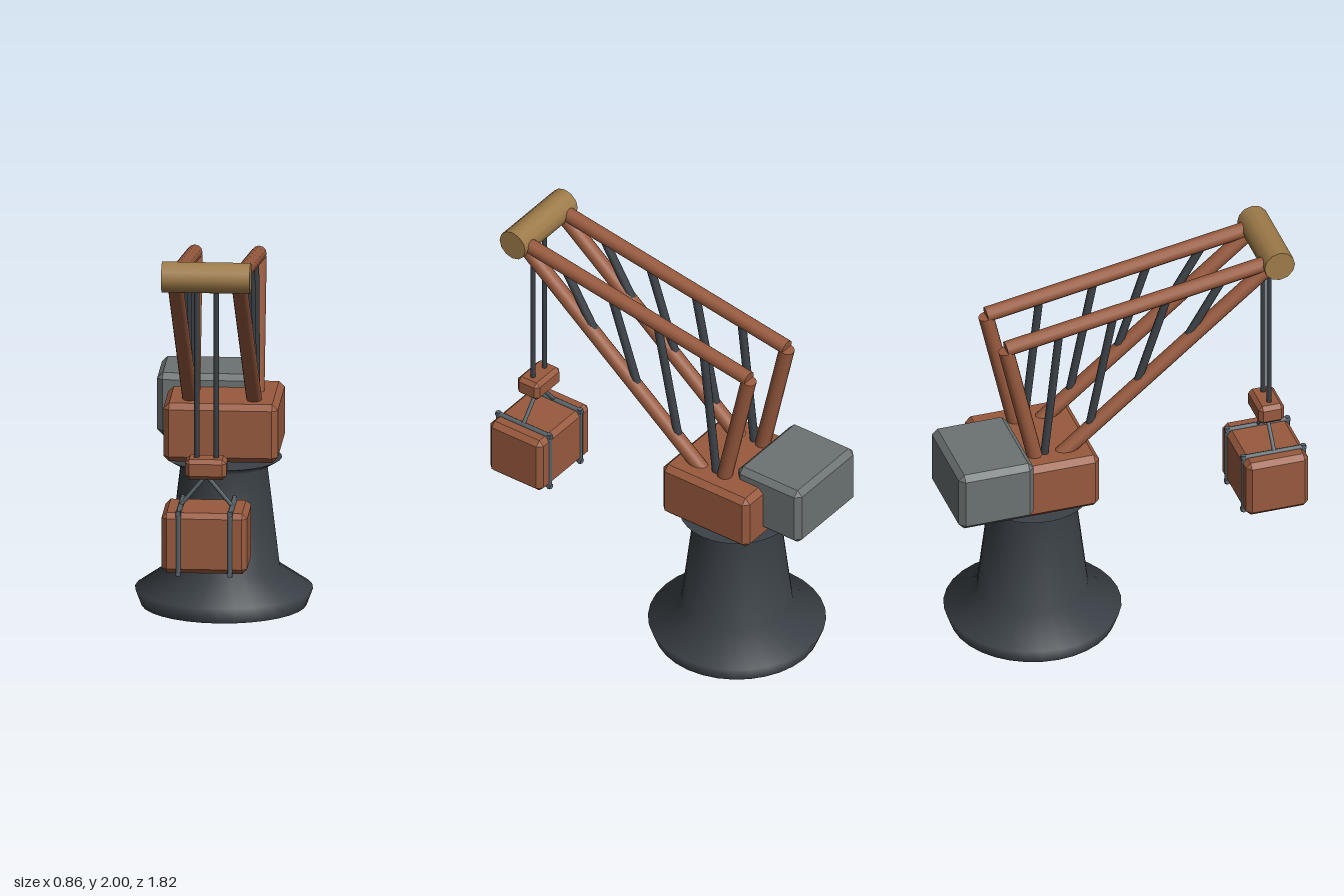
import * as THREE from 'three';
import { ConvexGeometry } from 'three/addons/geometries/ConvexGeometry.js';

const paint = (name, color) => {
  const m = new THREE.MeshStandardMaterial({ color });
  m.name = name;
  return m;
};

export function createModel() {
  const rust = paint('rust', 0x985a3e);
  const iron = paint('darkIron', 0x3b4147);
  const steel = paint('steel', 0x59656b);
  const grey = paint('counterweightGrey', 0x6c7372);
  const brass = paint('brass', 0x9e7b49);

  const crane = new THREE.Group();
  crane.name = 'harbourCrane';
  const V = (x, y, z) => new THREE.Vector3(x, y, z);

  const add = (name, geometry, material, parent = crane) => {
    const mesh = new THREE.Mesh(geometry, material);
    mesh.name = name;
    parent.add(mesh);
    return mesh;
  };
  const group = (name) => {
    const g = new THREE.Group();
    g.name = name;
    crane.add(g);
    return g;
  };

  // Box with a single flat chamfer on every edge, given by its min and max corners
  const chamferBox = (name, min, max, bevel, material, parent) => {
    const half = max.clone().sub(min).multiplyScalar(0.5);
    const points = [];
    for (const x of [-1, 1]) for (const y of [-1, 1]) for (const z of [-1, 1])
      for (const axis of ['x', 'y', 'z']) {
        const p = half.clone().subScalar(bevel);
        p[axis] += bevel;
        points.push(p.multiply(V(x, y, z)));
      }
    const mesh = add(name, new ConvexGeometry(points), material, parent);
    mesh.position.copy(min).add(max).sub(half.clone().add(min)).sub(half);
    mesh.position.copy(min).add(half);
    return mesh;
  };

  // Round bar between two points
  const bar = (name, a, b, radius, material, parent, sides = 12) => {
    const mesh = add(name, new THREE.CylinderGeometry(radius, radius, a.distanceTo(b), sides), material, parent);
    mesh.position.lerpVectors(a, b, 0.5);
    mesh.quaternion.setFromUnitVectors(V(0, 1, 0), b.clone().sub(a).normalize());
    return mesh;
  };

  // Pedestal with flared foot and collar
  const pedestal = group('pedestal');
  pedestal.position.z = -0.435;
  const profile = [[0.4, 0], [0.43, 0.08], [0.27, 0.19], [0.21, 0.69], [0.28, 0.73]]
    .map(([r, y]) => new THREE.Vector2(r, y));
  add('pedestalWall', new THREE.LatheGeometry(profile, 32), iron, pedestal);
  add('pedestalBottom', new THREE.CircleGeometry(0.4, 32), iron, pedestal).rotation.x = Math.PI / 2;
  const top = add('pedestalTop', new THREE.CircleGeometry(0.28, 32), iron, pedestal);
  top.rotation.x = -Math.PI / 2;
  top.position.y = 0.73;

  // Slewing house and offset counterweight
  chamferBox('house', V(-0.277, 0.76, -0.695), V(0.277, 1.05, -0.178), 0.028, rust);
  chamferBox('counterweight', V(-0.332, 0.8, -0.908), V(0.142, 1.11, -0.528), 0.028, grey);

  // Two mirrored boom frames with lattice braces
  const braces = [ // upper z, upper y, lower z, lower y
    [0.47, 1.855, 0.28, 1.54], [0.195, 1.81, 0.04, 1.345],
    [-0.075, 1.77, -0.2, 1.145], [-0.35, 1.725, -0.43, 1.0],
  ];
  for (const side of [-1, 1]) {
    const x = side * 0.155;
    const frame = group(side > 0 ? 'leftBoomFrame' : 'rightBoomFrame');
    bar('lowerChord', V(x, 0.98, -0.395), V(x, 1.925, 0.75), 0.038, rust, frame);
    bar('upperChord', V(x, 1.695, -0.62), V(x, 1.925, 0.75), 0.038, rust, frame);
    bar('backStrut', V(x, 0.98, -0.46), V(x, 1.685, -0.62), 0.038, rust, frame);
    for (const [z1, y1, z2, y2] of braces)
      bar('brace', V(x, y1, z1), V(x, y2, z2), 0.021, iron, frame, 8);
  }

  // Sheave drum at the boom tip
  bar('sheaveDrum', V(-0.214, 1.924, 0.75), V(0.214, 1.924, 0.75), 0.077, brass, crane, 12);

  // Hoist ropes and hook block
  for (const side of [-1, 1])
    bar('hoistRope', V(side * 0.047, 1, 0.75), V(side * 0.047, 1.92, 0.75), 0.013, iron, crane, 8);
  chamferBox('hookBlock', V(-0.1, 0.93, 0.685), V(0.1, 1.03, 0.815), 0.02, rust);

  // Hanging crate with two straps and slings
  chamferBox('crate', V(-0.207, 0.485, 0.588), V(0.207, 0.785, 0.904), 0.025, rust);
  for (const side of [-1, 1]) {
    const x = side * 0.125;
    const strap = group(side > 0 ? 'leftStrap' : 'rightStrap');
    const lo = 0.487, hi = 0.785, back = 0.594, front = 0.898, r = 0.013;
    bar('strapTop', V(x, hi, back - r), V(x, hi, front + r), r, steel, strap, 8);
    bar('strapBottom', V(x, lo, back - r), V(x, lo, front + r), r, steel, strap, 8);
    bar('strapFront', V(x, lo - r, front), V(x, hi + r, front), r, steel, strap, 8);
    bar('strapBack', V(x, lo - r, back), V(x, hi + r, back), r, steel, strap, 8);
    bar('sling', V(0, 0.94, 0.75), V(x, 0.79, 0.75), 0.01, steel, strap, 8);
  }

  return crane;
}
